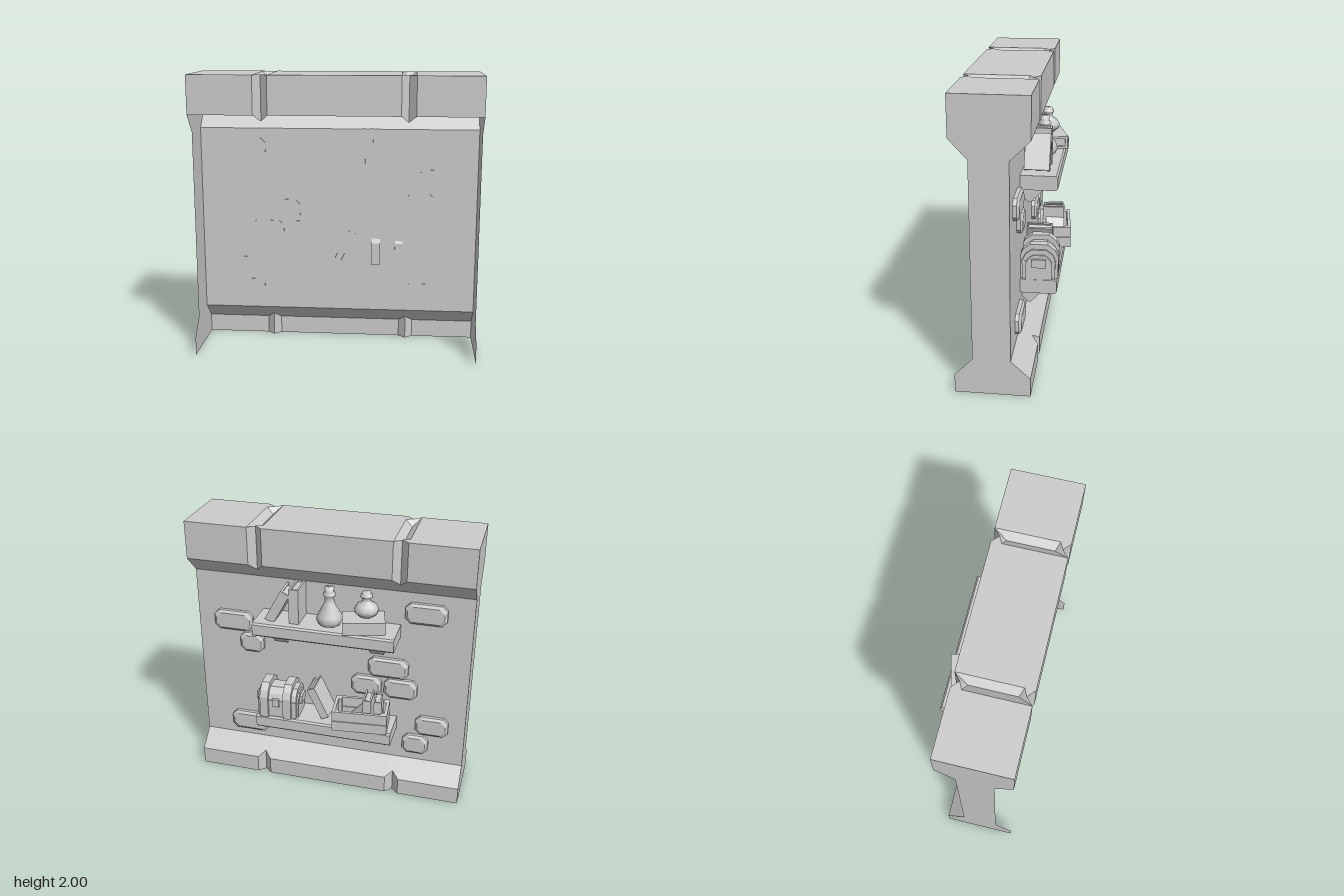
import * as THREE from 'three';

const grey = new THREE.MeshStandardMaterial({ color: 0xcccccc, flatShading: true, side: THREE.DoubleSide });
const smooth = new THREE.MeshStandardMaterial({ color: 0xcccccc, side: THREE.DoubleSide });

function add(parent, name, geometry, x = 0, y = 0, z = 0, material = grey) {
  const mesh = new THREE.Mesh(geometry, material);
  mesh.name = name;
  mesh.position.set(x, y, z);
  parent.add(mesh);
  return mesh;
}

function group(parent, name, x, y, z, ry = 0, rz = 0) {
  const g = new THREE.Group();
  g.name = name;
  g.position.set(x, y, z);
  g.rotation.set(0, ry, rz);
  parent.add(g);
  return g;
}

const box = (w, h, d) => new THREE.BoxGeometry(w, h, d);
const shapeOf = (pts) => new THREE.Shape(pts.map(([x, y]) => new THREE.Vector2(x, y)));

// Prism along x, centred, from a profile of [-z, y] points
function prism(pts, width) {
  const g = new THREE.ExtrudeGeometry(shapeOf(pts), { depth: width, bevelEnabled: false });
  return g.translate(0, 0, -width / 2).rotateY(Math.PI / 2);
}

// Surface through equal-length rows of points
function loft(rows) {
  const n = rows[0].length, index = [];
  for (let i = 0; i < rows.length - 1; i++) {
    for (let j = 0; j < n - 1; j++) {
      const a = i * n + j, b = a + n;
      index.push(a, a + 1, b, b, a + 1, b + 1);
    }
  }
  const g = new THREE.BufferGeometry();
  g.setAttribute('position', new THREE.Float32BufferAttribute(rows.flat(2), 3));
  g.setIndex(index);
  g.computeVertexNormals();
  return g;
}

// Cross-section of the hollow wall at x; d is the depth of the joint groove
function wallSection(x, d) {
  const zb = -0.16 + d, zf = 0.34 - d, dip = d * 0.9;
  return [
    [0, zb], [0.13 + d * 0.9, zb], [0.25, -0.03], [1.6, -0.03], [1.73 - d, zb], [2, zb],
    [2 - dip, -0.09 + d / 2], [2 - dip, 0.27 - d / 2], [2, zf], [1.73 - d, zf],
  ].map(([y, z]) => [x, y, z]);
}

function buildWall(root) {
  const columns = [[-1, 0], [-0.55, 0], [-0.5, 0.045], [-0.45, 0], [0.45, 0], [0.5, 0.045], [0.55, 0], [1, 0]];
  add(root, 'wall', loft(columns.map(([x, d]) => wallSection(x, d))));
  const side = shapeOf([
    [-0.34, 2], [-0.34, 1.73], [-0.22, 1.6], [-0.22, 0.25], [-0.34, 0.13], [-0.34, 0],
    [0.16, 0], [0.16, 0.13], [0.03, 0.25], [0.03, 1.6], [0.16, 1.73], [0.16, 2],
  ]);
  for (const s of [-1, 1]) {
    add(root, 'wallSide', new THREE.ShapeGeometry(side).rotateY(Math.PI / 2), s);
  }
}

// Brick with clipped corners, tapering to its outer face
function buildBrick(root, x0, x1, y0, y1) {
  const ring = (inset, z) => {
    const w = (x1 - x0) / 2 - inset, h = (y1 - y0) / 2 - inset, c = 0.035;
    const pts = [[-w + c, -h], [w - c, -h], [w, -h + c], [w, h - c], [w - c, h], [-w + c, h], [-w, h - c], [-w, -h + c], [-w + c, -h]];
    return pts.map(([x, y]) => [x, y, z]);
  };
  const centre = (z) => ring(0, z).map(() => [0, 0, z]);
  add(root, 'brick', loft([centre(-0.028), ring(0, -0.028), ring(0, -0.055), ring(0.018, -0.07), centre(-0.07)]),
    (x0 + x1) / 2, (y0 + y1) / 2, 0);
}

// Plank with chamfered edges on two slanted struts; top is the upper surface
function buildShelf(root, top) {
  const g = group(root, 'shelf', 0, top, 0);
  const c = 0.012;
  add(g, 'plank', prism([[0.03, 0], [0.28 - c, 0], [0.28, -c], [0.28, -0.1 + c], [0.28 - c, -0.1], [0.03, -0.1]], 1));
  for (const x of [-0.35, 0.35]) {
    add(g, 'strut', prism([[0.03, -0.1], [0.205, -0.1], [0.09, -0.22], [0.075, -0.22], [0.03, -0.18]], 0.1), x);
  }
}

// Upright book: thickness along x, spine towards -z, base at y = 0
function buildBook(parent, t, h, d, x, y, z, ry = 0, rz = 0) {
  const g = group(parent, 'book', x, y, z, ry, rz);
  const c = t * 0.2;
  for (const s of [-1, 1]) add(g, 'cover', box(c, h, d), s * (t - c) / 2, h / 2, 0);
  add(g, 'spine', box(t - 2 * c, h, c), 0, h / 2, -(d - c) / 2);
  add(g, 'pages', box(t - 2 * c, h - 0.03, d - 0.03), 0, h / 2, 0);
  return g;
}

function buildBottle(root, profile, x, y, z) {
  const pts = profile.map(([r, h]) => new THREE.Vector2(r, h));
  add(root, 'bottle', new THREE.LatheGeometry(pts, 10), x, y, z, smooth);
}

// Arched outline used by the chest
const arch = (w, h) => [
  [-w, 0], [w, 0], [w, h * 0.65], [w * 0.84, h * 0.84], [w * 0.45, h], [-w * 0.45, h], [-w * 0.84, h * 0.84], [-w, h * 0.65],
];

function buildChest(root) {
  const g = group(root, 'chest', 0.345, 0.6, -0.15, 0.04);
  add(g, 'chestBody', prism(arch(0.112, 0.215), 0.28));
  for (const x of [-0.075, 0.095]) add(g, 'chestBand', prism(arch(0.132, 0.25), 0.06), x);
  add(g, 'lidSeam', box(0.285, 0.02, 0.235), 0, 0.125, 0);
  add(g, 'latch', box(0.05, 0.06, 0.02), 0.01, 0.12, -0.117);
  for (const s of [-1, 1]) {
    add(g, 'chestEnd', prism(arch(0.09, 0.18), 0.02), s * 0.142);
    add(g, 'handle', box(0.03, 0.06, 0.1), s * 0.155, 0.125, 0);
  }
}

function buildCrate(root) {
  const g = group(root, 'crate', -0.27, 0.6, -0.2, 0.1);
  const w = 0.39, d = 0.23, t = 0.022;
  add(g, 'crateFloor', box(w - t, 0.02, d - t), 0, 0.012, 0);
  for (const s of [-1, 1]) {
    for (const y of [0.04, 0.12]) {
      add(g, 'longBoard', box(w, 0.075, t), 0, y, s * (d - t) / 2);
      add(g, 'endBoard', box(t, 0.075, d - 2 * t), s * (w - t) / 2, y, 0);
    }
    for (const e of [-1, 1]) {
      add(g, 'cornerPost', box(0.025, 0.15, 0.025), s * (w / 2 - 0.033), 0.08, e * (d / 2 - 0.033));
    }
  }
  // Books kept in the crate
  buildBook(g, 0.055, 0.21, 0.15, -0.12, 0.025, 0.01, 0.05);
  buildBook(g, 0.06, 0.215, 0.16, -0.05, 0.025, 0.01, -0.04);
  buildBook(g, 0.05, 0.17, 0.14, 0.07, 0.025, 0, 0, 0.75);
}

export function createModel() {
  const root = new THREE.Group();
  root.name = 'wallWithShelves';
  buildWall(root);

  const bricks = [
    [-0.82, -0.53, 1.38, 1.53], [0.58, 0.87, 1.16, 1.31], [0.5, 0.68, 1.0, 1.15],
    [-0.57, -0.28, 0.93, 1.08], [-0.64, -0.4, 0.77, 0.92], [-0.38, -0.16, 0.77, 0.92],
    [-0.88, -0.64, 0.49, 0.64], [-0.74, -0.55, 0.32, 0.47], [0.49, 0.78, 0.31, 0.46],
  ];
  for (const b of bricks) buildBrick(root, ...b);

  // Upper shelf: two books, a flask, and a round bottle on a lying book
  buildShelf(root, 1.35);
  buildBook(root, 0.07, 0.255, 0.19, 0.215, 1.35, -0.12);
  buildBook(root, 0.07, 0.25, 0.17, 0.395, 1.35, -0.13, 0, 0.5);
  buildBottle(root, [[0, 0], [0.075, 0], [0.092, 0.035], [0.085, 0.07], [0.036, 0.16], [0.03, 0.2], [0.045, 0.215], [0.045, 0.23], [0.03, 0.24], [0.034, 0.275], [0, 0.275]], -0.02, 1.35, -0.14);
  const lying = group(root, 'lyingBook', -0.265, 1.35, -0.165, 0.26);
  const flat = buildBook(lying, 0.09, 0.29, 0.19, 0.145, 0.045, 0);
  flat.rotation.z = Math.PI / 2;
  buildBottle(root, [[0, 0], [0.045, 0], [0.08, 0.03], [0.085, 0.06], [0.065, 0.09], [0.03, 0.11], [0.028, 0.135], [0.042, 0.145], [0.042, 0.158], [0.03, 0.165], [0.03, 0.18], [0, 0.18]], -0.28, 1.44, -0.14);

  // Lower shelf: chest, leaning book and crate
  buildShelf(root, 0.6);
  buildChest(root);
  buildBook(root, 0.06, 0.25, 0.19, -0.005, 0.615, -0.12, 0, -0.44);
  buildCrate(root);
  return root;
}
